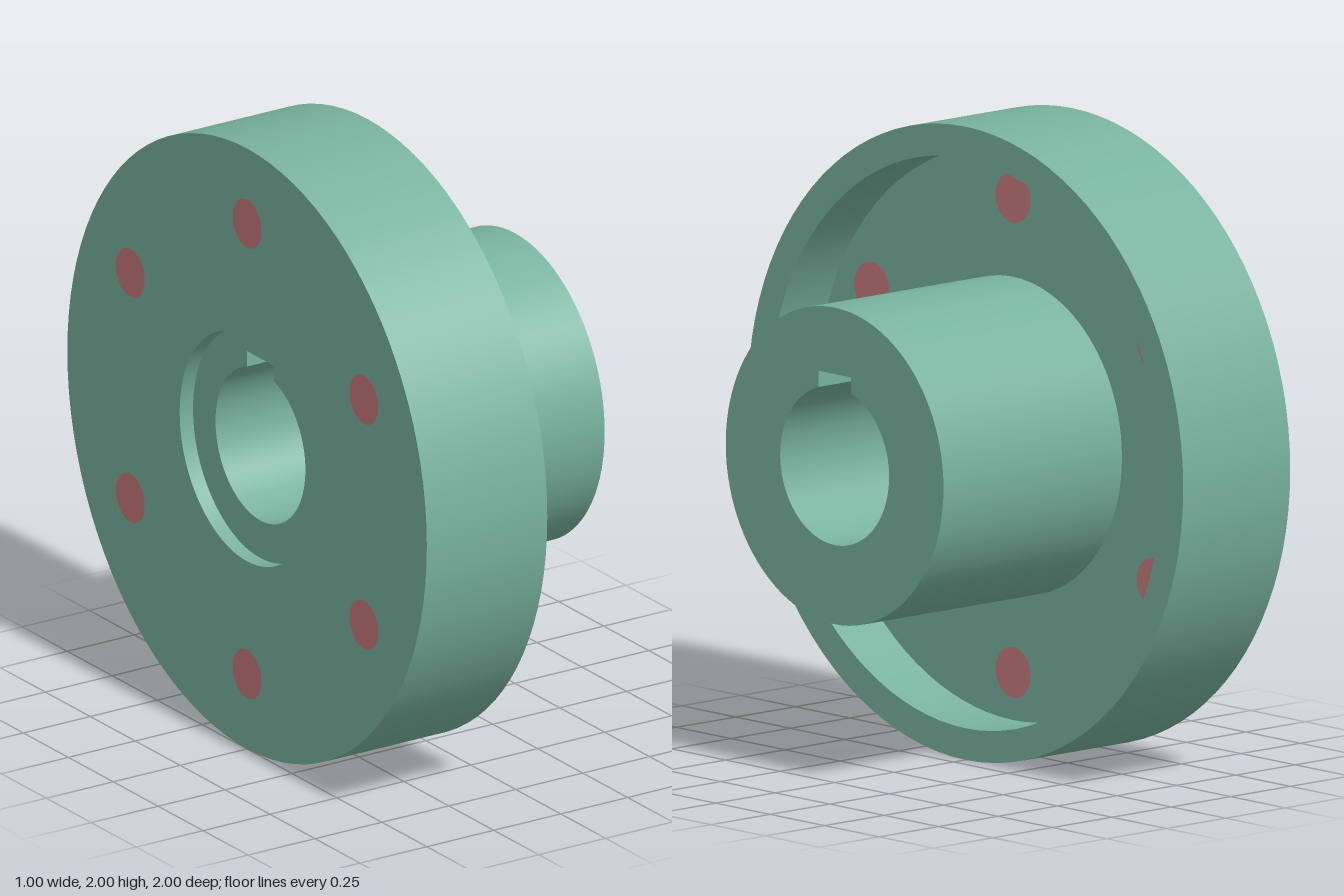
import * as THREE from 'three';
import { toCreasedNormals } from 'three/addons/utils/BufferGeometryUtils.js';

const SEG = 48;

function circle(r, x = 0, y = 0, Type = THREE.Path) {
  const p = new Type();
  p.absarc(x, y, r, 0, Math.PI * 2, false);
  return p;
}

// Disc with holes, extruded along the x axis from x0 to x1
function disc(name, r, holes, x0, x1, material) {
  const shape = circle(r, 0, 0, THREE.Shape);
  shape.holes.push(...holes);
  const geo = new THREE.ExtrudeGeometry(shape, { depth: x1 - x0, bevelEnabled: false, curveSegments: SEG });
  geo.rotateY(Math.PI / 2);
  geo.translate(x0, 1, 0);
  const mesh = new THREE.Mesh(toCreasedNormals(geo, 0.5), material);
  mesh.name = name;
  return mesh;
}

// Round bore with a square keyway at the top
function keyedBore(r, halfWidth, top) {
  const a = Math.acos(halfWidth / r);
  const p = new THREE.Path();
  p.moveTo(halfWidth, top);
  p.lineTo(-halfWidth, top);
  p.absarc(0, 0, r, Math.PI - a, a + Math.PI * 2, false);
  p.closePath();
  return p;
}

export function createModel() {
  const group = new THREE.Group();
  group.name = 'flangedHub';
  const green = new THREE.MeshStandardMaterial({ color: 0x78b29e });
  green.name = 'green';
  const red = new THREE.MeshStandardMaterial({ color: 0xc87a7a });
  red.name = 'red';

  const boltSpots = [];
  for (let i = 0; i < 6; i++) {
    const a = Math.PI / 2 + (i * Math.PI) / 3;
    boltSpots.push([0.75 * Math.cos(a), 0.75 * Math.sin(a)]);
  }
  const boltHoles = boltSpots.map(([x, y]) => circle(0.08, x, y));

  // Raised outer rim, web with bolt holes and rear counterbore, long hub
  group.add(disc('rim', 1, [circle(0.9)], -0.5, -0.05, green));
  group.add(disc('web', 0.9, [circle(0.375), ...boltHoles], -0.5, -0.25, green));
  group.add(disc('hub', 0.5, [keyedBore(0.25, 0.075, 0.29)], -0.45, 0.5, green));

  // Flush plugs filling the bolt holes
  boltSpots.forEach(([x, y], i) => {
    const plug = disc('boltPlug' + (i + 1), 0.08, [], -0.5, -0.25, red);
    plug.position.set(0, y, -x);
    group.add(plug);
  });
  return group;
}
